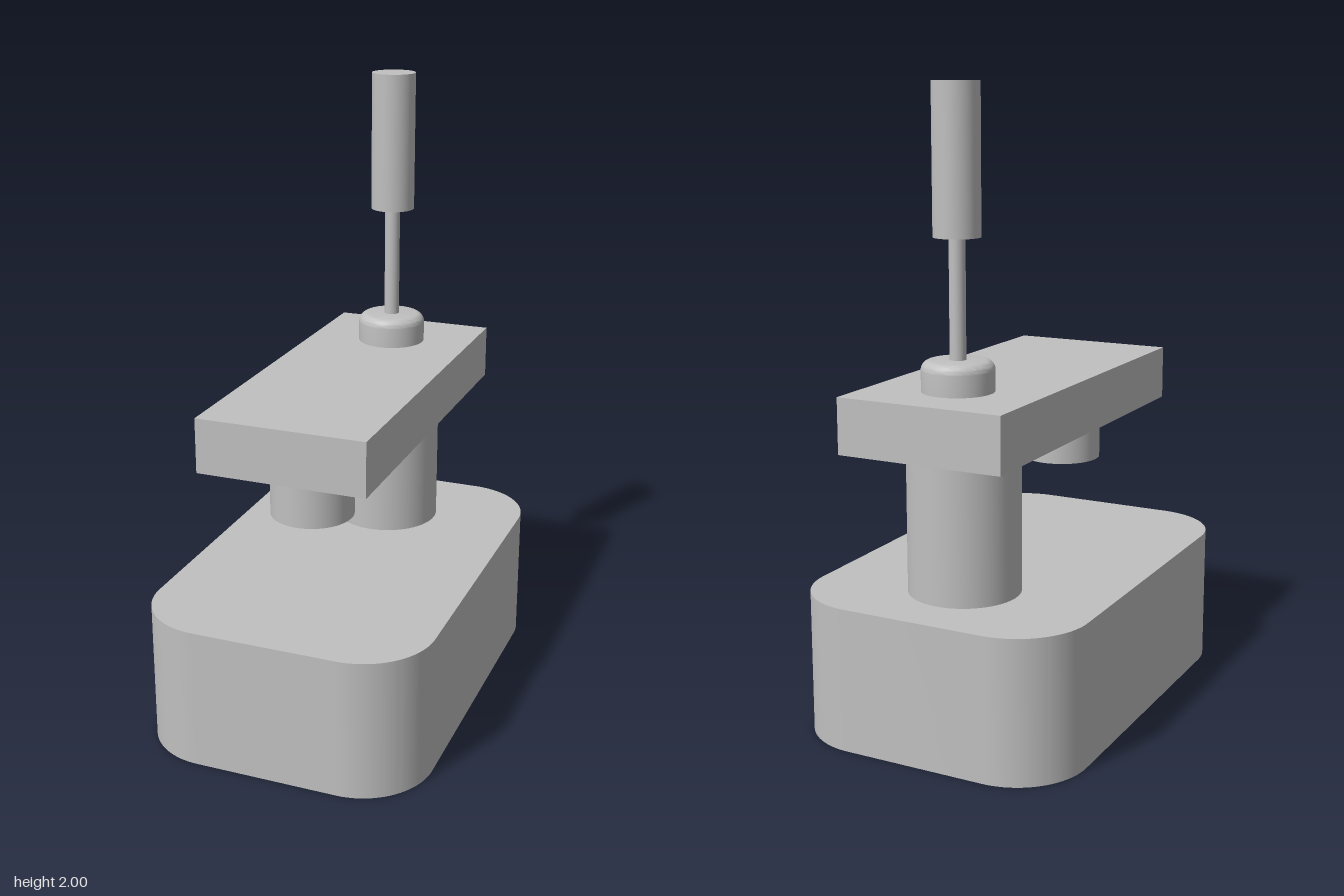
import * as THREE from 'three';
import { toCreasedNormals } from 'three/addons/utils/BufferGeometryUtils.js';

export function createModel() {
  const model = new THREE.Group();
  model.name = 'leverPress';
  const grey = new THREE.MeshStandardMaterial({ color: 0xc0c0c0 });
  grey.name = 'plain grey';

  function add(name, geometry, x = 0, y = 0, z = 0) {
    const mesh = new THREE.Mesh(geometry, grey);
    mesh.name = name;
    mesh.position.set(x, y, z);
    model.add(mesh);
  }

  // Upright cylinder spanning y0 to y1
  function post(name, radius, y0, y1, z) {
    add(name, new THREE.CylinderGeometry(radius, radius, y1 - y0, 64), 0, (y0 + y1) / 2, z);
  }

  // Base block with rounded vertical corners
  const w = 0.462, d = 0.705, r = 0.23, baseTop = 0.455;
  const outline = new THREE.Shape();
  outline.absarc(w - r, d - r, r, 0, Math.PI / 2);
  outline.absarc(r - w, d - r, r, Math.PI / 2, Math.PI);
  outline.absarc(r - w, r - d, r, Math.PI, Math.PI * 1.5);
  outline.absarc(w - r, r - d, r, Math.PI * 1.5, Math.PI * 2);
  outline.closePath();
  const base = new THREE.ExtrudeGeometry(outline, { depth: baseTop, bevelEnabled: false, curveSegments: 16 });
  base.rotateX(-Math.PI / 2);
  add('base', toCreasedNormals(base, Math.PI / 6));

  // Column, overhanging arm and the short ram below its front end
  const armBottom = 0.915, armTop = 1.09;
  post('column', 0.177, baseTop, armBottom, -0.378);
  add('arm', new THREE.BoxGeometry(0.544, armTop - armBottom, 1.215), 0, (armBottom + armTop) / 2, -0.047);
  post('ram', 0.132, 0.73, armBottom, 0.31);

  // Collar with a rounded top edge
  const leverZ = -0.41, collarR = 0.112, collarH = 0.095, fillet = 0.03;
  const profile = [new THREE.Vector2(0, 0), new THREE.Vector2(collarR, 0)];
  for (let i = 0; i <= 8; i++) {
    const a = (i / 8) * Math.PI / 2;
    profile.push(new THREE.Vector2(collarR - fillet + fillet * Math.cos(a), collarH - fillet + fillet * Math.sin(a)));
  }
  profile.push(new THREE.Vector2(0, collarH));
  add('collar', toCreasedNormals(new THREE.LatheGeometry(profile, 64), Math.PI / 6), 0, armTop, leverZ);

  // Lever rod and grip
  post('leverRod', 0.025, armTop + collarH, 1.55, leverZ);
  post('leverGrip', 0.072, 1.55, 2, leverZ);

  return model;
}
